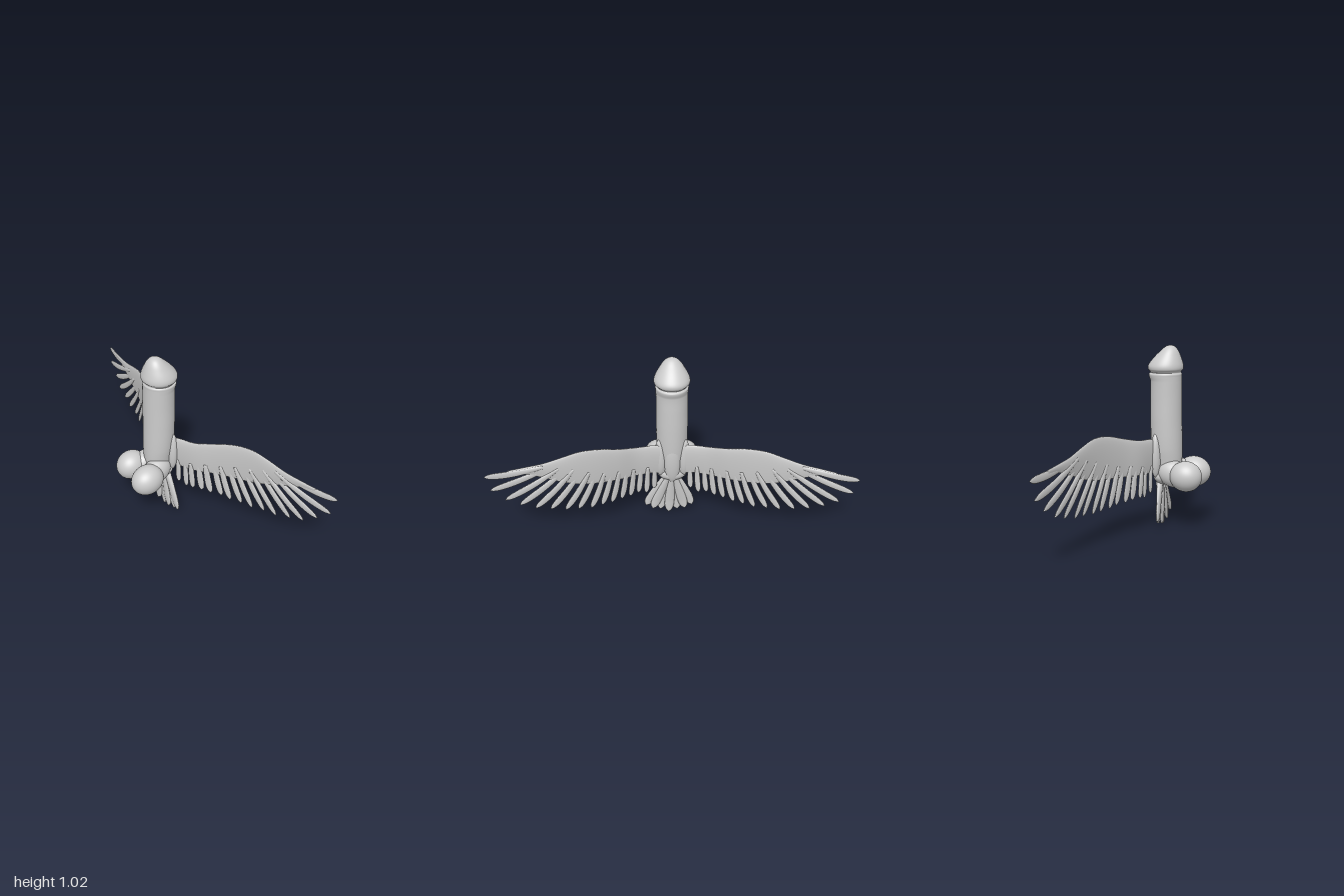
import * as THREE from 'three';

const material = new THREE.MeshStandardMaterial({ color: 0xcccccc, roughness: 0.7 });

// Smooth (Hermite) interpolation in a table of [u, value, value...] rows; k picks the column.
function sample(table, u, k = 1) {
  const n = table.length - 1;
  u = Math.min(Math.max(u, table[0][0]), table[n][0]);
  let i = 0;
  while (i < n - 1 && u > table[i + 1][0]) i++;
  const slope = (j) => {
    const a = table[Math.max(j - 1, 0)], b = table[Math.min(j + 1, n)];
    return (b[k] - a[k]) / (b[0] - a[0]);
  };
  const h = table[i + 1][0] - table[i][0], t = (u - table[i][0]) / h, t2 = t * t, t3 = t2 * t;
  return (2 * t3 - 3 * t2 + 1) * table[i][k] + (t3 - 2 * t2 + t) * h * slope(i)
    + (3 * t2 - 2 * t3) * table[i + 1][k] + (t3 - t2) * h * slope(i + 1);
}

// Closed skin over a list of equal rings, with both ends capped and faces turned outward.
function loft(rings) {
  const m = rings[0].length, n = rings.length, points = rings.flat(), index = [];
  for (let i = 0; i < n - 1; i++) {
    for (let j = 0; j < m; j++) {
      const a = i * m + j, b = i * m + (j + 1) % m;
      index.push(a, b, a + m, b, b + m, a + m);
    }
  }
  for (const [row, flip] of [[0, true], [n - 1, false]]) {
    const centre = new THREE.Vector3();
    rings[row].forEach((p) => centre.addScaledVector(p, 1 / m));
    const c = points.push(centre) - 1;
    for (let j = 0; j < m; j++) {
      const a = row * m + j, b = row * m + (j + 1) % m;
      index.push(...(flip ? [b, a, c] : [a, b, c]));
    }
  }
  let volume = 0;
  const cross = new THREE.Vector3();
  for (let i = 0; i < index.length; i += 3) {
    volume += cross.crossVectors(points[index[i + 1]], points[index[i + 2]]).dot(points[index[i]]);
  }
  if (volume < 0) index.reverse();
  const geometry = new THREE.BufferGeometry().setFromPoints(points);
  geometry.setIndex(index);
  geometry.computeVertexNormals();
  return geometry;
}

function add(group, name, geometry) {
  const mesh = new THREE.Mesh(geometry, material);
  mesh.name = name;
  group.add(mesh);
  return mesh;
}

function blob(group, name, position, radii, tilt = 0) {
  const mesh = add(group, name, new THREE.SphereGeometry(1, 40, 28));
  mesh.position.set(...position);
  mesh.scale.set(...radii);
  mesh.rotation.z = tilt;
}

// Upright body: y, left x, right x, half depth
const BODY = [
  [0.235, -0.08, -0.03, 0.02], [0.25, -0.115, -0.012, 0.05], [0.29, -0.14, 0.002, 0.066],
  [0.36, -0.152, 0.01, 0.075], [0.45, -0.154, 0.02, 0.086], [0.6, -0.151, 0.025, 0.089],
  [0.72, -0.15, 0.025, 0.088], [0.82, -0.149, 0.025, 0.089], [0.848, -0.149, 0.034, 0.091],
  [0.86, -0.149, 0.034, 0.091], [0.868, -0.144, 0.024, 0.085], [0.876, -0.147, 0.03, 0.09],
  [0.886, -0.156, 0.038, 0.098], [0.905, -0.157, 0.038, 0.098], [0.93, -0.151, 0.022, 0.088],
  [0.96, -0.141, -0.004, 0.07], [0.985, -0.13, -0.03, 0.053], [1.003, -0.117, -0.05, 0.036],
  [1.013, -0.103, -0.066, 0.02], [1.017, -0.089, -0.081, 0.004],
];

function bodyGeometry() {
  const rings = [], steps = 6;
  for (let i = 0; i <= (BODY.length - 1) * steps; i++) {
    const row = Math.min(Math.floor(i / steps), BODY.length - 2);
    const y = THREE.MathUtils.lerp(BODY[row][0], BODY[row + 1][0], i / steps - row);
    const x0 = sample(BODY, y, 1), x1 = sample(BODY, y, 2), depth = sample(BODY, y, 3);
    rings.push(Array.from({ length: 48 }, (_, j) => {
      const a = j / 48 * Math.PI * 2;
      return new THREE.Vector3((x0 + x1) / 2 + Math.cos(a) * (x1 - x0) / 2, y, Math.sin(a) * depth);
    }));
  }
  return loft(rings);
}

// Wing sweep: span, x
const SWEEP = [[0, -0.03], [0.1, 0.0], [0.2, 0.035], [0.3, 0.09], [0.4, 0.135], [0.5, 0.17],
  [0.6, 0.197], [0.8, 0.24], [1, 0.29]];
// Wing arm: span, upper y, lower y, half thickness
const ARM = [[0.03, 0.49, 0.29, 0.02], [0.1, 0.508, 0.315, 0.018], [0.2, 0.52, 0.325, 0.014],
  [0.3, 0.55, 0.34, 0.014], [0.4, 0.583, 0.355, 0.014], [0.5, 0.595, 0.375, 0.013],
  [0.6, 0.577, 0.41, 0.012], [0.7, 0.555, 0.46, 0.01], [0.8, 0.547, 0.505, 0.008], [0.88, 0.543, 0.52, 0.005]];
// Wing feathers: base span, base y, tip span, tip y
const FEATHERS = [
  [0.10, 0.36, 0.105, 0.205], [0.14, 0.37, 0.15, 0.19], [0.18, 0.37, 0.195, 0.2], [0.22, 0.38, 0.24, 0.2],
  [0.26, 0.39, 0.29, 0.2], [0.30, 0.4, 0.345, 0.2], [0.34, 0.41, 0.40, 0.198], [0.38, 0.42, 0.46, 0.2],
  [0.42, 0.44, 0.53, 0.208], [0.46, 0.45, 0.60, 0.222], [0.50, 0.47, 0.68, 0.238], [0.54, 0.49, 0.76, 0.265],
  [0.58, 0.5, 0.84, 0.3], [0.62, 0.51, 0.91, 0.355], [0.65, 0.53, 0.98, 0.43], [0.70, 0.535, 1.0, 0.527],
];

// Point on a wing; the right wing droops a little more toward its tip.
function wingPoint(side, span, y, offset) {
  const droop = side < 0 ? 0.07 * Math.pow(Math.max(span, 0), 1.7) : 0;
  return new THREE.Vector3(sample(SWEEP, span) + offset, y - droop, side * span);
}

function armGeometry(side) {
  const rings = [];
  for (let i = 0; i <= 50; i++) {
    const s = THREE.MathUtils.lerp(0.03, 0.88, i / 50);
    const top = sample(ARM, s, 1), low = sample(ARM, s, 2), thick = sample(ARM, s, 3);
    rings.push(Array.from({ length: 28 }, (_, j) => {
      const a = j / 28 * Math.PI * 2, up = Math.cos(a);
      // thicker along the leading edge
      return wingPoint(side, s, (top + low) / 2 + up * (top - low) / 2, Math.sin(a) * thick * (0.8 + 0.3 * up));
    }));
  }
  return loft(rings);
}

// Feather outline along its length: t, share of full half width
const VANE = [[0, 0.55], [0.3, 0.85], [0.65, 1], [0.85, 0.9], [0.95, 0.6], [1, 0.08]];

// Flat feather from (u0, y0) to (u1, y1); place() maps (u, y, offset) into space.
function featherGeometry([u0, y0, u1, y1], width, thick, bow, place) {
  const length = Math.hypot(u1 - u0, y1 - y0), du = (u1 - u0) / length, dy = (y1 - y0) / length;
  const rings = [];
  for (let i = 0; i <= 20; i++) {
    const t = 1 - Math.pow(1 - i / 20, 1.5), w = width * sample(VANE, t), b = bow * Math.sin(Math.PI * t);
    rings.push(Array.from({ length: 12 }, (_, j) => {
      const a = j / 12 * Math.PI * 2, side = Math.cos(a) * w + b;
      return place(u0 + du * length * t - dy * side, y0 + dy * length * t + du * side,
        Math.sin(a) * thick * (1 - 0.6 * t));
    }));
  }
  return loft(rings);
}

function wing(side) {
  const group = new THREE.Group();
  group.name = side > 0 ? 'leftWing' : 'rightWing';
  add(group, 'wingArm', armGeometry(side));
  FEATHERS.forEach((f, i) => {
    const outer = i / (FEATHERS.length - 1), shift = (i % 2 ? 1 : -1) * 0.003;
    add(group, 'wingFeather', featherGeometry(f, 0.0165 + 0.005 * outer, 0.01, -0.012 * outer,
      (u, y, o) => wingPoint(side, u, y, o + shift)));
  });
  return group;
}

function tail() {
  const group = new THREE.Group();
  group.name = 'tail';
  const place = (u, y, o) => new THREE.Vector3(-0.042 + 0.06 * Math.max(y - 0.08, 0) + o, y, u);
  const tips = [[0.155, 0.045], [0.115, 0.025], [0.07, 0.015], [0.02, 0.0], [-0.03, 0.012], [-0.075, 0.025], [-0.118, 0.045]];
  tips.forEach(([z, y], i) => {
    const f = [z * 0.2, 0.27, z, y];
    add(group, 'tailFeather', featherGeometry(f, 0.029, 0.018, 0,
      (u, v, o) => place(u, v, o + (i % 2 ? 0.004 : -0.004))));
  });
  return group;
}

export function createModel() {
  const model = new THREE.Group();
  model.name = 'wingedFigure';
  add(model, 'body', bodyGeometry());

  // Rounded lobes at the base with their connecting mass
  blob(model, 'leftLobe', [-0.205, 0.302, 0.079], [0.096, 0.086, 0.08], 0.1);
  blob(model, 'rightLobe', [-0.198, 0.305, -0.082], [0.09, 0.084, 0.078], 0.1);
  for (const s of [1, -1]) blob(model, 'lobeNeck', [-0.12, 0.308, s * 0.05], [0.09, 0.075, 0.062], 0.25);
  blob(model, 'baseSwelling', [-0.055, 0.288, 0], [0.062, 0.05, 0.088]);

  // Ridge along the back, and shoulders where the wings join
  blob(model, 'backRidge', [-0.005, 0.38, 0], [0.026, 0.14, 0.045], -0.06);
  for (const s of [1, -1]) blob(model, 'shoulder', [-0.022, 0.41, s * 0.068], [0.03, 0.125, 0.035]);

  model.add(wing(1), wing(-1), tail());
  return model;
}
